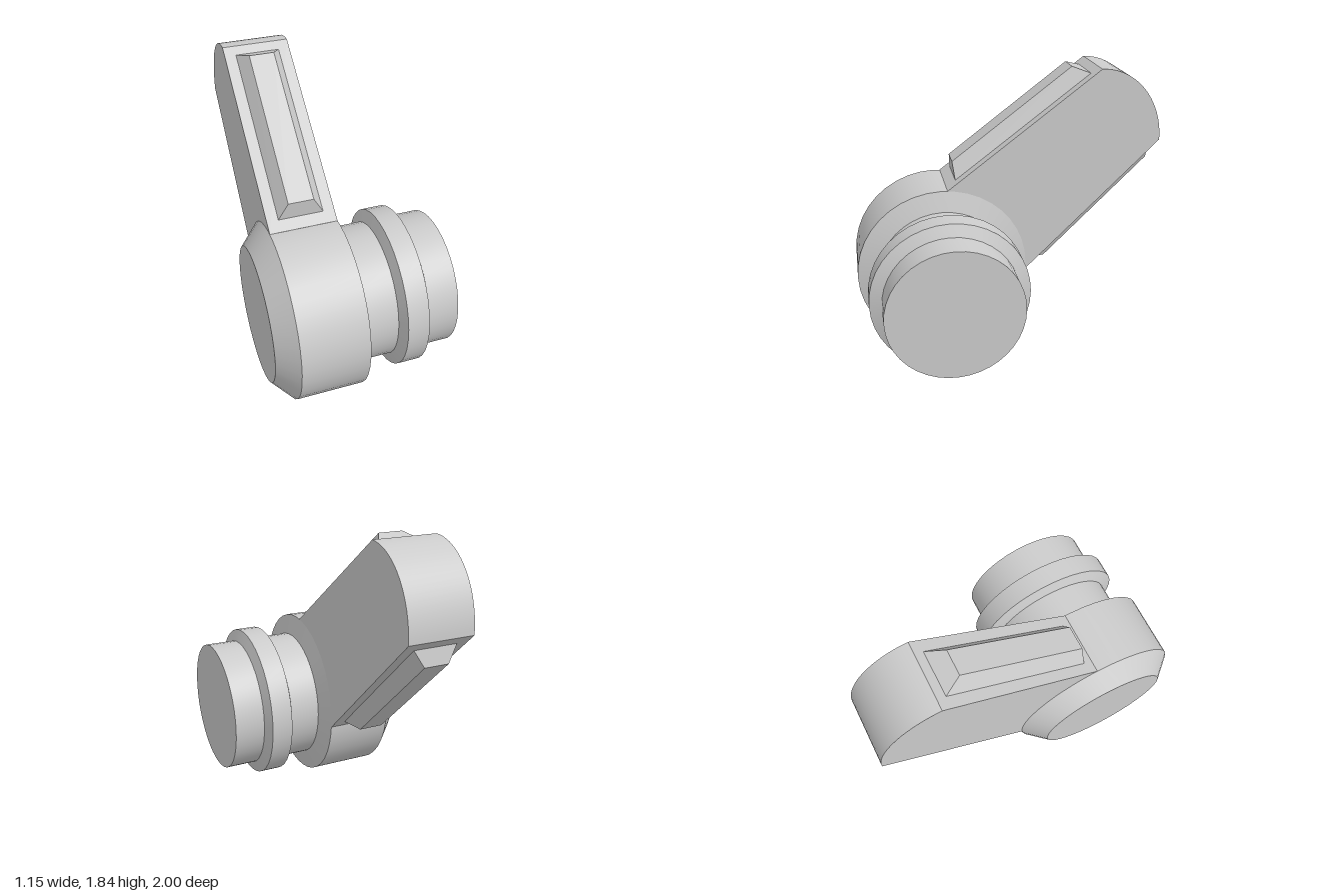
import * as THREE from 'three';
import { toCreasedNormals } from 'three/addons/utils/BufferGeometryUtils.js';
import { ConvexGeometry } from 'three/addons/geometries/ConvexGeometry.js';

const AXIS_Y = 0.555, AXIS_Z = 0.445;
const ARM_LEFT = -0.04, ARM_RIGHT = -0.455;

// Raised rib: base and crest are each given as two [z, y] ends
function ribGeometry(base, crest) {
  const points = [];
  const addEdge = (ends, x0, x1) => {
    for (const [z, y] of ends) {
      points.push(new THREE.Vector3(x0, y, z), new THREE.Vector3(x1, y, z));
    }
  };
  addEdge(base, -0.385, -0.11);
  addEdge(crest, -0.325, -0.17);
  return new ConvexGeometry(points);
}

export function createModel() {
  const model = new THREE.Group();
  model.name = 'leverHandle';
  const material = new THREE.MeshStandardMaterial({ color: 0xcccccc });
  const add = (name, geometry) => {
    const mesh = new THREE.Mesh(geometry, material);
    mesh.name = name;
    model.add(mesh);
    return mesh;
  };

  // Hub with stepped shaft and collar, turned about the x axis: [radius, x]
  const profile = [
    [0, -0.575], [0.425, -0.575], [0.555, -0.455], [0.555, -0.04],
    [0.425, -0.005], [0.425, 0.185], [0.5, 0.215], [0.5, 0.35],
    [0.425, 0.38], [0.425, 0.573], [0, 0.573],
  ].map(([r, x]) => new THREE.Vector2(r, x));
  const hub = add('hubAndShaft', toCreasedNormals(new THREE.LatheGeometry(profile, 40), 0.5));
  hub.rotation.z = -Math.PI / 2;
  hub.position.set(0, AXIS_Y, AXIS_Z);

  // Lever arm with a rounded end, drawn from the side (shape x runs to the back)
  const outline = new THREE.Shape();
  outline.moveTo(-0.4, 1.108);
  outline.lineTo(0.108, 0.51);
  outline.lineTo(1, 1.36);
  outline.absellipse(0.59, 1.36, 0.41, 0.48, 0, Math.PI / 2, false, 0);
  outline.closePath();
  const armGeometry = new THREE.ExtrudeGeometry(outline, {
    depth: ARM_LEFT - ARM_RIGHT, bevelEnabled: false, curveSegments: 10,
  });
  const arm = add('leverArm', toCreasedNormals(armGeometry, 0.5));
  arm.rotation.y = Math.PI / 2;
  arm.position.x = ARM_RIGHT;

  // Grip ribs on the upper and lower faces of the arm
  add('upperRib', ribGeometry([[0.34, 1.153], [-0.54, 1.802]], [[0.35, 1.26], [-0.43, 1.838]]));
  add('lowerRib', ribGeometry([[-0.16, 0.559], [-0.945, 1.308]], [[-0.265, 0.535], [-0.965, 1.205]]));

  return model;
}
